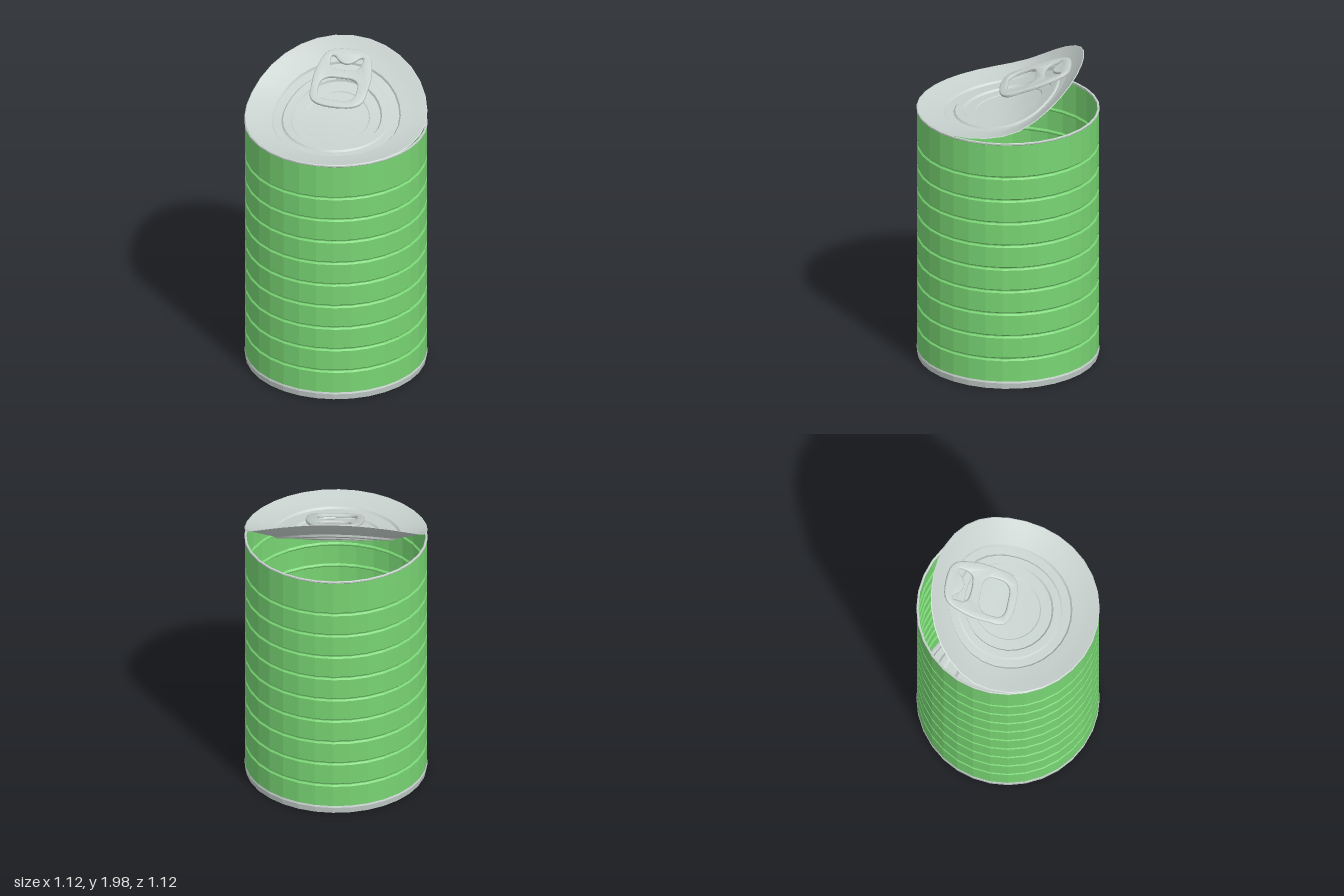
import * as THREE from 'three';
import { toCreasedNormals } from 'three/addons/utils/BufferGeometryUtils.js';

const SIDES = 32;
const v2 = (pairs) => pairs.map(([r, y]) => new THREE.Vector2(r, y));

// Bend angle (degrees) of the peeled lid along its length, front to back
const BEND = [[0.56, 0], [0.4, 2], [0.1, 8], [-0.02, 15], [-0.2, 33], [-0.56, 43]];
function bendAngle(s) {
  for (let i = 1; i < BEND.length; i++) {
    const [s0, a0] = BEND[i - 1], [s1, a1] = BEND[i];
    if (s >= s1) return THREE.MathUtils.degToRad(a0 + (a1 - a0) * (s0 - s) / (s0 - s1));
  }
  return THREE.MathUtils.degToRad(43);
}

// Walk along the bent centre line to the point that was at depth s on the flat lid
function bendPoint(s, h) {
  const steps = 60, ds = (0.56 - s) / steps;
  let y = 1.64, z = 0.56;
  for (let i = 0; i < steps; i++) {
    const a = bendAngle(0.56 - (i + 0.5) * ds);
    y += Math.sin(a) * ds;
    z -= Math.cos(a) * ds;
  }
  const a = bendAngle(s);
  return [y + h * Math.cos(a), z + h * Math.sin(a)];
}

// Rounded rectangle added to a shape or path
function roundedRect(path, x0, y0, x1, y1, r) {
  path.moveTo(x0 + r, y0);
  path.lineTo(x1 - r, y0);
  path.quadraticCurveTo(x1, y0, x1, y0 + r);
  path.lineTo(x1, y1 - r);
  path.quadraticCurveTo(x1, y1, x1 - r, y1);
  path.lineTo(x0 + r, y1);
  path.quadraticCurveTo(x0, y1, x0, y1 - r);
  path.lineTo(x0, y0 + r);
  path.quadraticCurveTo(x0, y0, x0 + r, y0);
  return path;
}

export function createModel() {
  const green = new THREE.MeshStandardMaterial({ color: 0x78d473, side: THREE.DoubleSide });
  green.name = 'green paint';
  const silver = new THREE.MeshStandardMaterial({ color: 0xc8d2ce, side: THREE.DoubleSide });
  silver.name = 'silver metal';

  const can = new THREE.Group();
  can.name = 'openCan';
  const add = (name, geometry, material) => {
    const mesh = new THREE.Mesh(geometry, material);
    mesh.name = name;
    can.add(mesh);
    return mesh;
  };
  const lathe = (pairs, crease) =>
    toCreasedNormals(new THREE.LatheGeometry(v2(pairs), SIDES), crease);

  // Wall with nine pressed grooves
  const wall = [[0.556, 0.048]];
  for (let i = 0; i < 9; i++) {
    const y = 0.197 + i * 0.151;
    wall.push([0.556, y - 0.012], [0.547, y - 0.003], [0.547, y + 0.003], [0.556, y + 0.012]);
  }
  wall.push([0.556, 1.628]);
  add('wall', lathe(wall, 0.1), green);

  // Thin rim around the opening
  add('topRim', lathe([
    [0.556, 1.624], [0.56, 1.628], [0.56, 1.636], [0.555, 1.639], [0.547, 1.636], [0.547, 1.624],
  ], 0.1), silver);

  // Recessed base with its seam and stepped panel
  add('base', lathe([
    [0, 0.035], [0.34, 0.035], [0.36, 0.024], [0.43, 0.024], [0.445, 0.034], [0.475, 0.034],
    [0.49, 0.024], [0.53, 0.024], [0.54, 0], [0.553, 0], [0.56, 0.038], [0.555, 0.052],
  ], 0.1), silver);

  // Peeled lid: stepped disc bent upward toward the back
  const lidGeometry = new THREE.LatheGeometry(v2([
    [0.56, -0.004], [0.555, 0], [0.5, -0.012], [0.45, -0.022], [0.395, -0.03], [0.385, -0.042],
    [0.335, -0.042], [0.325, -0.032], [0.28, -0.032], [0.27, -0.044], [0.205, -0.044],
    [0.2, -0.048], [0.1, -0.048], [0, -0.048],
  ]), SIDES);
  const p = lidGeometry.attributes.position;
  for (let i = 0; i < p.count; i++) {
    const [y, z] = bendPoint(p.getZ(i), p.getY(i));
    p.setXYZ(i, p.getX(i), y, z);
  }
  // Reverse the winding so that the upper side is the front
  const index = lidGeometry.index;
  const a = new THREE.Vector3(), b = new THREE.Vector3(), c = new THREE.Vector3();
  let up = 0;
  for (let i = 0; i < index.count; i += 3) {
    a.fromBufferAttribute(p, index.getX(i));
    b.fromBufferAttribute(p, index.getX(i + 1)).sub(a);
    c.fromBufferAttribute(p, index.getX(i + 2)).sub(a);
    up += b.cross(c).y;
  }
  if (up < 0) {
    for (let i = 0; i < index.count; i += 3) {
      const t = index.getX(i);
      index.setX(i, index.getX(i + 1));
      index.setX(i + 1, t);
    }
  }
  add('lid', toCreasedNormals(lidGeometry, 0.3), silver);

  // Pull tab outline, front end at the origin
  const tab = new THREE.Shape();
  tab.moveTo(0, 0);
  tab.bezierCurveTo(0.12, 0, 0.175, 0.03, 0.175, 0.11);
  tab.bezierCurveTo(0.175, 0.19, 0.19, 0.24, 0.165, 0.34);
  tab.bezierCurveTo(0.145, 0.43, 0.13, 0.47, 0, 0.47);
  tab.bezierCurveTo(-0.13, 0.47, -0.145, 0.43, -0.165, 0.34);
  tab.bezierCurveTo(-0.19, 0.24, -0.175, 0.19, -0.175, 0.11);
  tab.bezierCurveTo(-0.175, 0.03, -0.12, 0, 0, 0);
  // Finger hole
  tab.holes.push(roundedRect(new THREE.Path(), -0.13, 0.054, 0.11, 0.235, 0.08));
  // Rivet hole with a tongue dipping in from the back
  const rivetHole = new THREE.Path();
  rivetHole.moveTo(-0.07, 0.305);
  rivetHole.quadraticCurveTo(0, 0.29, 0.07, 0.305);
  rivetHole.quadraticCurveTo(0.105, 0.32, 0.1, 0.40);
  rivetHole.quadraticCurveTo(0.085, 0.415, 0.06, 0.38);
  rivetHole.quadraticCurveTo(0, 0.315, -0.06, 0.38);
  rivetHole.quadraticCurveTo(-0.085, 0.415, -0.1, 0.40);
  rivetHole.quadraticCurveTo(-0.105, 0.32, -0.07, 0.305);
  tab.holes.push(rivetHole);
  const tabGeometry = new THREE.ExtrudeGeometry(tab, {
    depth: 0.004, bevelThickness: 0.009, bevelSize: 0.012, bevelOffset: -0.012,
    bevelSegments: 3, curveSegments: 8,
  });
  const pullTab = add('pullTab', toCreasedNormals(tabGeometry, 0.9), silver);
  pullTab.rotation.x = THREE.MathUtils.degToRad(21 - 90);
  pullTab.position.set(0, 1.757, 0.05);

  return can;
}
